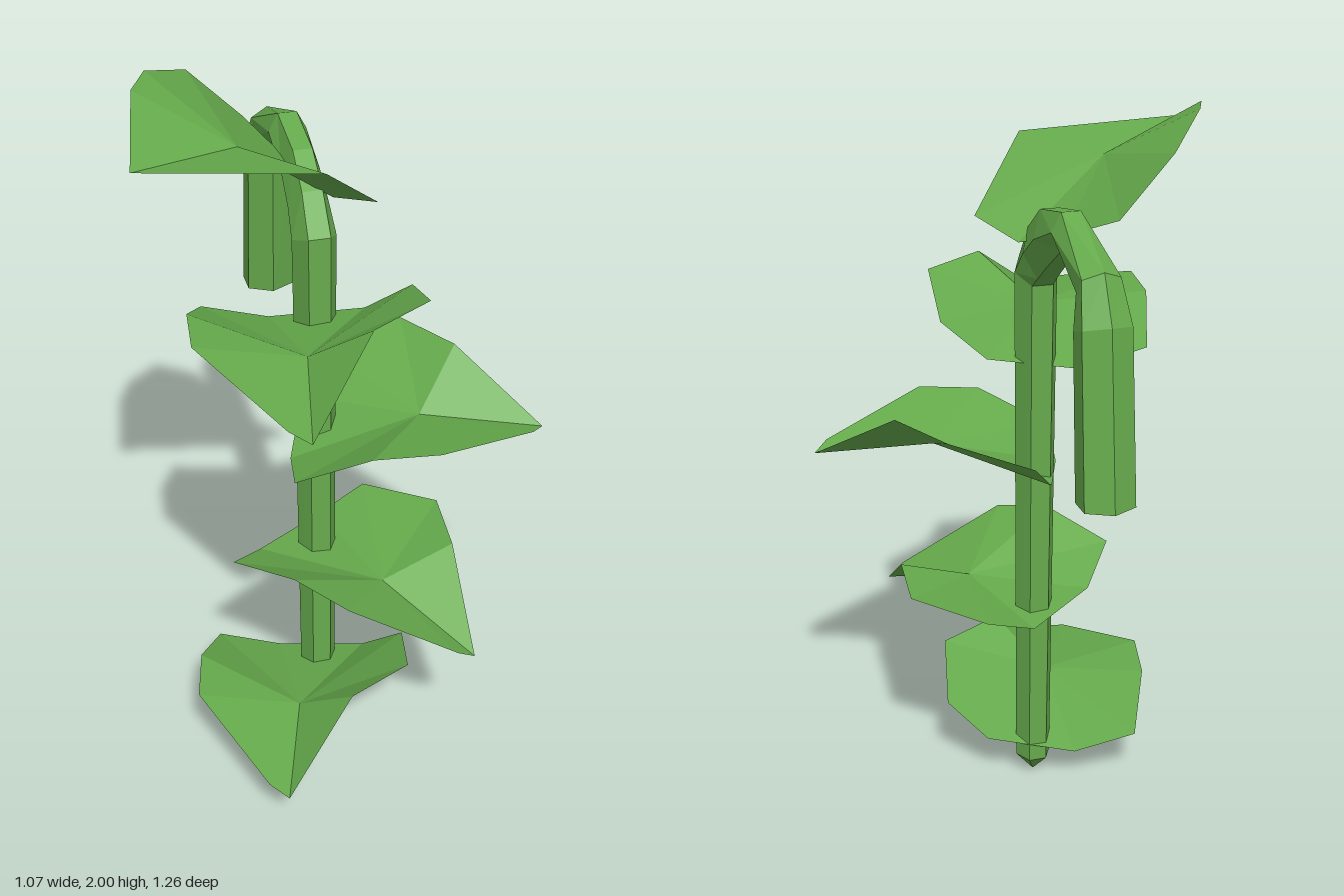
import * as THREE from 'three';

const green = new THREE.MeshStandardMaterial({ color: 0x66ab4c, flatShading: true, side: THREE.DoubleSide });
green.name = 'leafGreen';

const STEM_X = -0.04, STEM_Z = 0.03;

function facetedGeometry(points, index) {
  const indexed = new THREE.BufferGeometry();
  indexed.setAttribute('position', new THREE.Float32BufferAttribute(points, 3));
  indexed.setIndex(index);
  const geo = indexed.toNonIndexed();
  geo.computeVertexNormals();
  return geo;
}

// Six-sided stem lofted through rings: [outer z, outer y, inner z, inner y, half width, turn]
function stemGeometry() {
  const rings = [
    [0.03, 0, 0.03, 0, 0, 0.5],
    [0.08, 0.06, -0.02, 0.06, 0.052, 0.5],
    [0.075, 1.59, -0.045, 1.54, 0.06, 0.5],
    [0.0, 1.69, -0.085, 1.57, 0.055, 0.5],
    [-0.1, 1.76, -0.15, 1.615, 0.052, 0.5],
    [-0.27, 1.79, -0.27, 1.69, 0.052, 0.5],
    [-0.52, 1.7, -0.44, 1.62, 0.058, 0],
    [-0.58, 1.58, -0.455, 1.54, 0.075, 0],
    [-0.63, 1.12, -0.49, 1.12, 0.078, 0],
    [-0.56, 1.12, -0.56, 1.12, 0, 0],
  ];
  const sides = 6, points = [], index = [];
  rings.forEach(([oz, oy, iz, iy, w, turn], i) => {
    // a turned ring has flat faces outward, an unturned one has corners there
    const depth = turn ? 0.5 / Math.cos(Math.PI / sides) : 0.5;
    for (let k = 0; k < sides; k++) {
      const t = ((k + turn) / sides) * Math.PI * 2;
      const c = Math.cos(t) * depth;
      points.push(STEM_X + w * Math.sin(t), (oy + iy) / 2 + (oy - iy) * c, (oz + iz) / 2 + (oz - iz) * c);
      if (i === rings.length - 1) continue;
      const a = i * sides + k, b = i * sides + ((k + 1) % sides);
      index.push(a, b, b + sides, a, b + sides, a + sides);
    }
  });
  return facetedGeometry(points, index);
}

// Folded leaf: a fan from the midrib to the rim
function leafGeometry(midrib, rim) {
  const index = [];
  rim.forEach((_, i) => index.push(0, i + 1, ((i + 1) % rim.length) + 1));
  return facetedGeometry([midrib, ...rim].flat(), index);
}

export function createModel() {
  const group = new THREE.Group();
  group.name = 'plant';
  const add = (name, geometry) => {
    const mesh = new THREE.Mesh(geometry, green);
    mesh.name = name;
    group.add(mesh);
    return mesh;
  };

  add('stem', stemGeometry());

  // Broad raised leaf at the bend
  add('topLeaf', leafGeometry([-0.24, 1.86, 0.05], [
    [-0.53, 1.915, 0.24], [-0.08, 1.885, 0.3], [0.1, 1.7, 0.12], [0.02, 1.655, -0.02],
    [-0.06, 1.7, -0.16], [-0.15, 1.77, -0.32], [-0.3, 1.925, -0.3], [-0.43, 2, -0.14], [-0.48, 2, -0.03],
  ]));

  // Four matching leaves down the stem, tip first turned to +z
  const base = leafGeometry([-0.09, 0.03, 0.27], [
    [-0.16, 0, 0.6], [0.045, 0.16, 0.395], [0.225, 0.15, 0.28], [0.25, 0.065, 0.05],
    [0.14, -0.03, -0.02], [-0.11, -0.06, -0.09], [-0.29, -0.01, -0.105],
    [-0.36, 0.09, 0.09], [-0.38, 0.1, 0.265], [-0.21, 0.02, 0.56],
  ]).rotateY(0.265);

  // x, y, z, yaw, upward pitch, roll
  const leaves = [
    [STEM_X, 1.36, STEM_Z, -0.265, 0, 0],
    [STEM_X, 1.02, STEM_Z, 1.218, 0, 0],
    [STEM_X - 0.02, 0.6, STEM_Z - 0.02, 0.603, -0.21, -0.22],
    [STEM_X, 0.16, STEM_Z, -0.38, 0, 0],
  ];
  leaves.forEach(([x, y, z, yaw, pitch, roll], i) => {
    const geo = base.clone().rotateZ(roll).rotateX(-pitch).rotateY(yaw);
    add(`stemLeaf${i + 1}`, geo).position.set(x, y, z);
  });
  return group;
}
